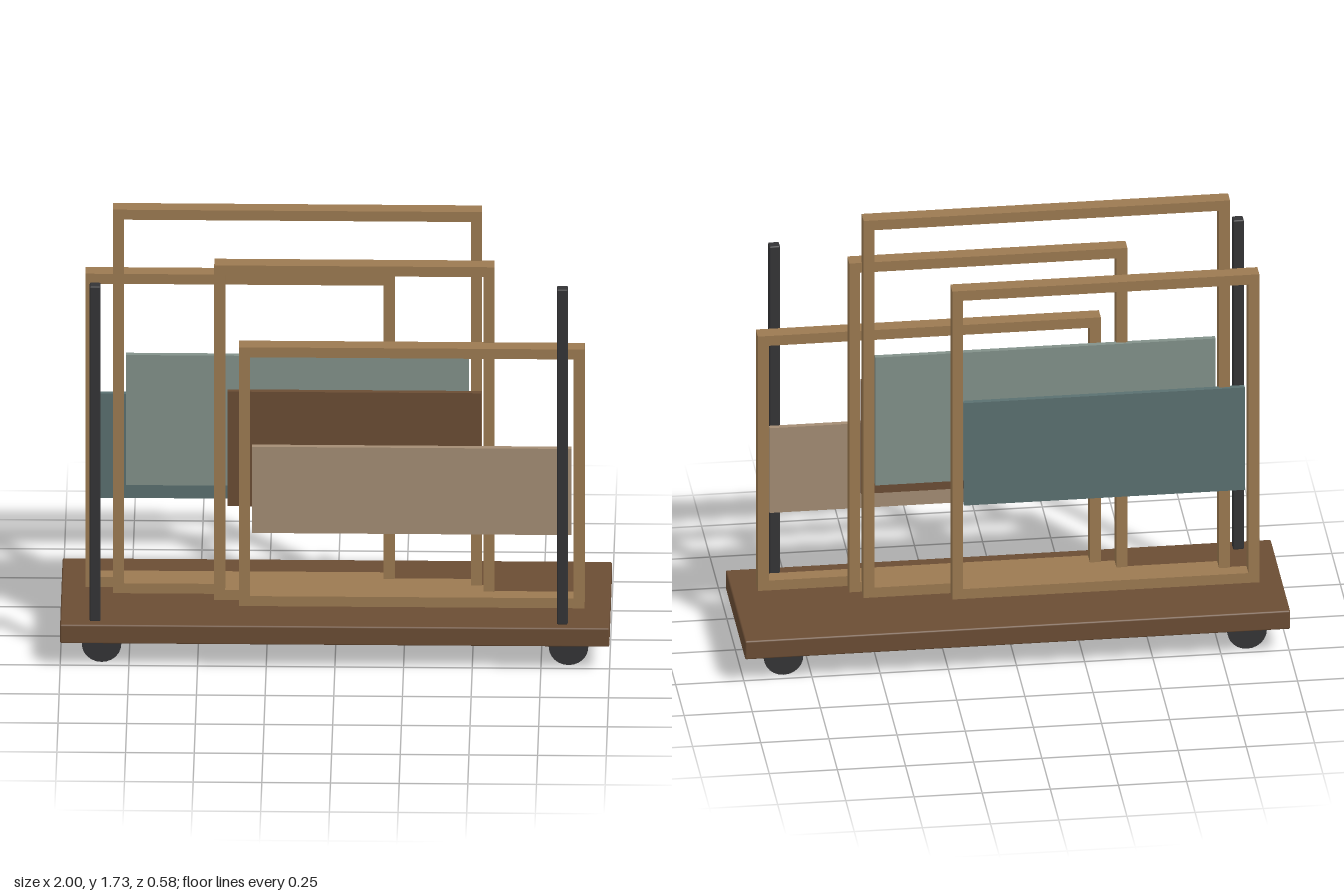
import * as THREE from 'three';
import { RoundedBoxGeometry } from 'three/addons/geometries/RoundedBoxGeometry.js';

function material(name, color) {
  const m = new THREE.MeshStandardMaterial({ color });
  m.name = name;
  return m;
}

export function createModel() {
  const model = new THREE.Group();
  model.name = 'frameTrolley';

  const wood = material('light wood', 0x9c7a51);
  const brown = material('dark brown', 0x6b4d34);
  const charcoal = material('charcoal', 0x343436);
  const sage = material('sage', 0x82918a);
  const teal = material('teal', 0x5a7070);
  const tan = material('tan', 0xa48d74);

  function add(parent, name, geometry, mat, x, y, z) {
    const mesh = new THREE.Mesh(geometry, mat);
    mesh.name = name;
    mesh.position.set(x, y, z);
    parent.add(mesh);
    return mesh;
  }

  // Flat deck
  add(model, 'deck', new RoundedBoxGeometry(2, 0.075, 0.58, 1, 0.006), brown, 0, 0.1425, 0);

  // Four wheels, partly sunk into the deck
  const wheel = new THREE.CylinderGeometry(0.072, 0.072, 0.05, 24);
  wheel.rotateX(Math.PI / 2);
  for (const x of [-0.85, 0.85]) {
    for (const z of [-0.195, 0.195]) add(model, 'wheel', wheel, charcoal, x, 0.072, z);
  }

  // Upright posts along the front edge
  const post = new RoundedBoxGeometry(0.04, 1.345, 0.04, 1, 0.005);
  for (const x of [-0.873, 0.828]) add(model, 'post', post, charcoal, x, 0.8525, 0.24);

  // Stacked open frames, each with a thin panel at its front
  const bar = 0.04, depth = 0.058, bottom = 0.192, gap = 0.008, thick = 0.02;

  function frameGeometry(x0, x1, top) {
    const shape = new THREE.Shape([
      new THREE.Vector2(x0, bottom), new THREE.Vector2(x1, bottom),
      new THREE.Vector2(x1, top), new THREE.Vector2(x0, top),
    ]);
    shape.holes.push(new THREE.Path([
      new THREE.Vector2(x0 + bar, bottom + bar), new THREE.Vector2(x0 + bar, top - bar),
      new THREE.Vector2(x1 - bar, top - bar), new THREE.Vector2(x1 - bar, bottom + bar),
    ]));
    return new THREE.ExtrudeGeometry(shape, { depth, bevelEnabled: false });
  }

  const frames = [
    { x0: -0.913, x1: 0.213, top: 1.45, low: 0.552, high: 0.97, mat: teal },
    { x0: -0.812, x1: 0.532, top: 1.732, low: 0.628, high: 1.15, mat: sage },
    { x0: -0.442, x1: 0.578, top: 1.535, low: 0.57, high: 1.03, mat: brown },
    { x0: -0.351, x1: 0.907, top: 1.231, low: 0.487, high: 0.833, mat: tan },
  ];
  frames.forEach(({ x0, x1, top, low, high, mat }, i) => {
    const group = new THREE.Group();
    group.name = 'framedPanel' + (i + 1);
    group.position.z = -0.071 + i * 0.0517;
    model.add(group);
    add(group, 'frame', frameGeometry(x0, x1, top), wood, 0, 0, 0);
    const width = x1 - x0 - 2 * (bar + gap);
    add(group, 'panel', new THREE.BoxGeometry(width, high - low, thick), mat,
      (x0 + x1) / 2, (low + high) / 2, depth + 0.003 - thick / 2);
  });

  return model;
}
